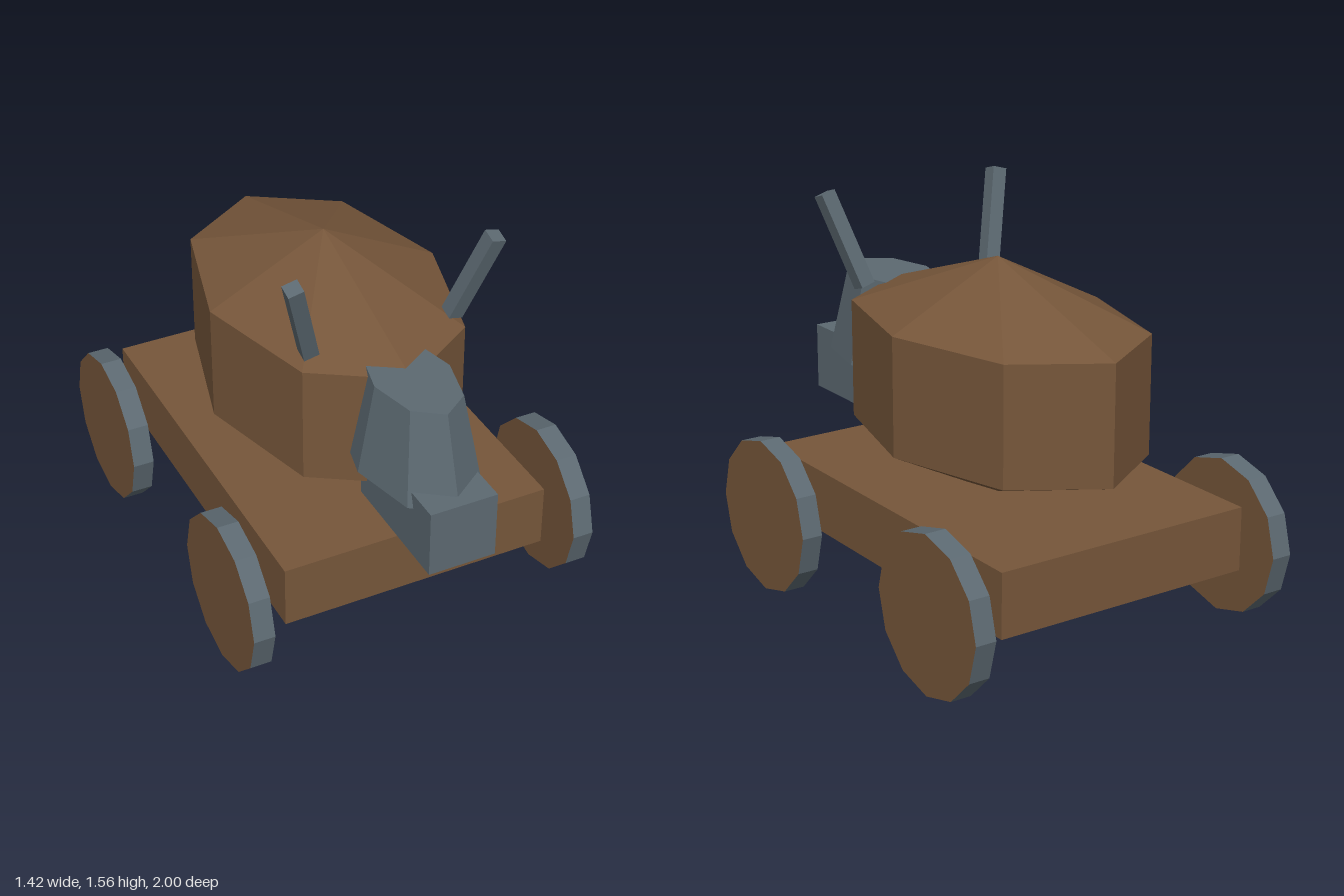
import * as THREE from 'three';

export function createModel() {
  const brown = new THREE.MeshStandardMaterial({ color: 0x76563a, flatShading: true, side: THREE.DoubleSide });
  brown.name = 'brown';
  const grey = new THREE.MeshStandardMaterial({ color: 0x5c6971, flatShading: true });
  grey.name = 'slate grey';

  const model = new THREE.Group();
  model.name = 'wheeledAnimal';
  const add = (name, geometry, material, x, y, z) => {
    const mesh = new THREE.Mesh(geometry, material);
    mesh.name = name;
    mesh.position.set(x, y, z);
    model.add(mesh);
    return mesh;
  };

  // Cart: an upside-down tray, open underneath
  const tray = new THREE.BoxGeometry(1.078, 0.25, 1.58);
  const index = Array.from(tray.index.array);
  index.splice(18, 6); // drop the bottom face
  tray.setIndex(index);
  tray.clearGroups();
  add('cart', tray, brown, 0, 0.384, -0.12);

  // Faceted body
  const body = new THREE.SphereGeometry(1, 8, 3);
  body.scale(0.539, 0.466, 0.826);
  add('body', body, brown, 0, 0.905, -0.115);

  // Tapered eight-sided head and box muzzle
  const head = new THREE.CylinderGeometry(0.15, 0.213, 0.355, 8);
  head.scale(1, 1, 1.735);
  add('head', head, grey, 0, 0.977, 0.6);
  add('muzzle', new THREE.BoxGeometry(0.266, 0.267, 0.53), grey, 0, 0.726, 0.735);

  // Wheels: grey tread with brown discs
  const wheel = new THREE.CylinderGeometry(0.307, 0.307, 0.084, 12);
  wheel.rotateZ(Math.PI / 2);

  for (const side of [1, -1]) {
    const label = side > 0 ? 'left' : 'right';
    for (const [end, z] of [['Front', 0.46], ['Rear', -0.693]]) {
      add(label + end + 'Wheel', wheel, [grey, brown, brown], side * 0.666, 0.311, z);
    }

    // Leaning horns
    const horn = add(label + 'Horn', new THREE.BoxGeometry(0.06, 0.385, 0.06), grey, side * 0.343, 1.373, 0.411);
    horn.rotation.set(0.287, 0, -side * 0.28);

    // Thin rail under the cart top
    add(label + 'Rail', new THREE.BoxGeometry(0.035, 0.02, 1.57), grey, side * 0.515, 0.497, -0.12);
  }
  return model;
}
